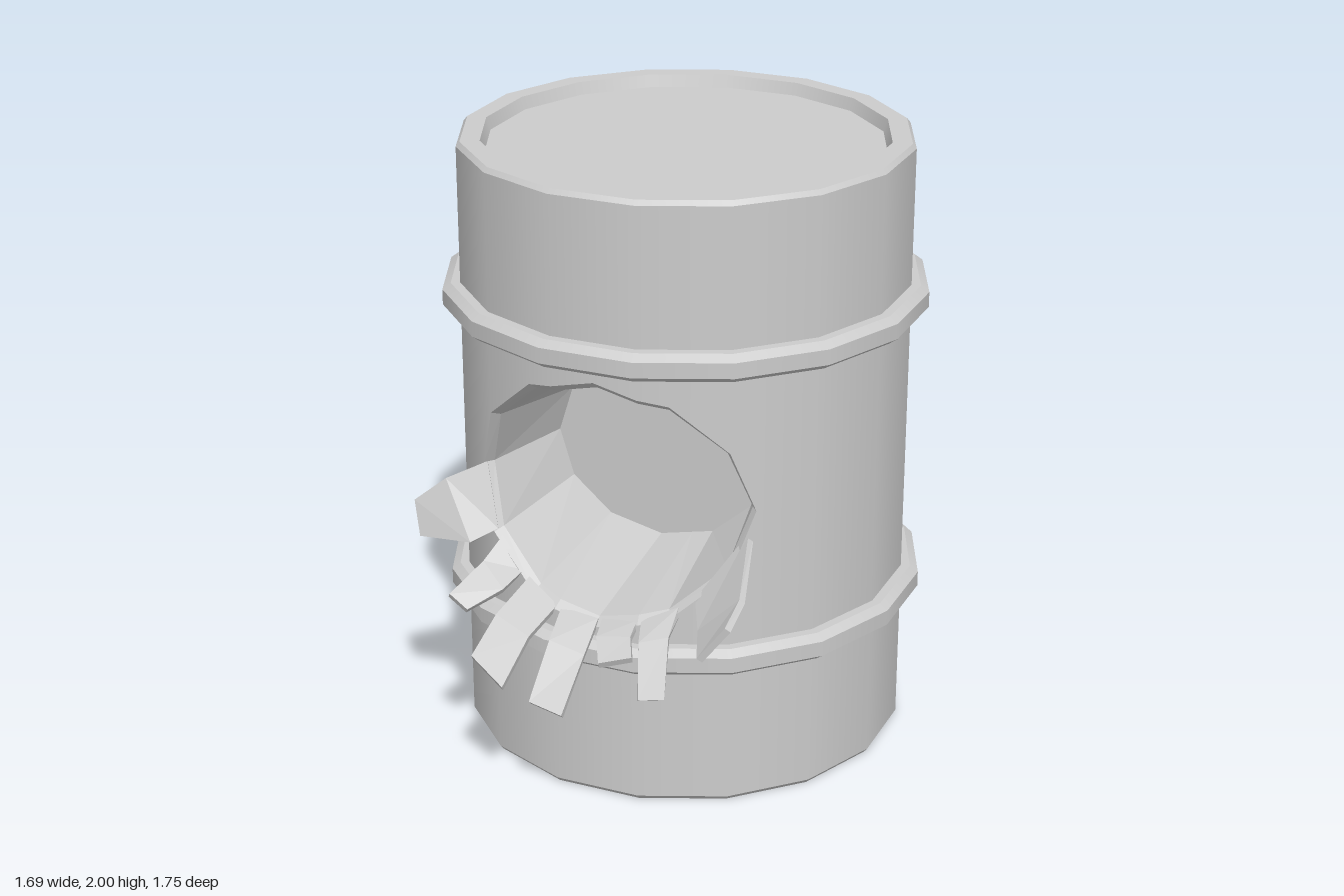
import * as THREE from 'three';
import { mergeGeometries } from 'three/addons/utils/BufferGeometryUtils.js';

const R = 0.725, SIDES = 16, TURN = -33.75 * Math.PI / 180; // hole axis: rotated off +z
const HOLE_W = 0.465, HOLE_H = 0.41, CX = 0.064, CZ = -0.1;
const rad = THREE.MathUtils.degToRad;
const smooth = new THREE.MeshStandardMaterial({ color: 0xcccccc, side: THREE.DoubleSide });
const faceted = new THREE.MeshStandardMaterial({ color: 0xcccccc, side: THREE.DoubleSide, flatShading: true });

// Piecewise-linear lookup in a sorted list of [x, y] pairs
function lerpTable(table, x) {
  for (let i = 1; i < table.length; i++) {
    const [x0, y0] = table[i - 1], [x1, y1] = table[i];
    if (x <= x1 + 1e-9) return y0 + (y1 - y0) * (x - x0) / (x1 - x0);
  }
  return table[table.length - 1][1];
}

// Facet corners of the wall, and the 12-sided hole outline
const corner = [11.25, 33.75, 56.25].map(a => [R * Math.sin(rad(a)), R * Math.cos(rad(a))]);
const outline = [90, 60, 30, 0].map(a => [HOLE_W * Math.cos(rad(a)), HOLE_H * Math.sin(rad(a))]);
const wallZ = u => lerpTable([[0, corner[0][1]], ...corner], Math.abs(u));
const holeH = u => Math.abs(u) >= HOLE_W - 1e-6 ? 0 : lerpTable(outline, Math.abs(u));

function build(points, quads) {
  const g = new THREE.BufferGeometry();
  g.setAttribute('position', new THREE.Float32BufferAttribute(points.flat(), 3));
  g.setIndex(quads.flatMap(([a, b, c, d]) => [a, b, c, a, c, d]));
  g.computeVertexNormals();
  return g;
}

// Turned part: smooth around, sharp at each profile corner
function turned(profile) {
  const parts = [];
  for (let i = 1; i < profile.length; i++) {
    const pts = [profile[i - 1], profile[i]].map(p => new THREE.Vector2(p[0], p[1]));
    parts.push(new THREE.LatheGeometry(pts, SIDES, rad(11.25)));
  }
  return mergeGeometries(parts);
}

// The five front wall facets, split into columns above and below the hole
function holedWall(cols, y0, y1) {
  const points = [], quads = [];
  for (const u of cols) {
    const z = wallZ(u), h = holeH(u);
    for (const y of [y0, 1 - h, 1 + h, y1]) points.push([u, y, z]);
  }
  for (let i = 0; i < cols.length - 1; i++) {
    const a = i * 4, b = a + 4;
    quads.push([a, b, b + 1, a + 1], [a + 2, b + 2, b + 3, a + 3]);
  }
  const g = build(points, quads);
  const p = g.attributes.position, n = g.attributes.normal;
  for (let i = 0; i < p.count; i++) {
    const l = Math.hypot(p.getX(i), p.getZ(i));
    n.setXYZ(i, p.getX(i) / l, 0, p.getZ(i) / l);
  }
  return g;
}

// Recess behind the hole: rim lip, tapering wall and flat back
function cavity(cols) {
  const inner = cols.filter(u => Math.abs(u) <= HOLE_W + 1e-6);
  const loop = [...inner.map(u => [u, holeH(u)]),
    ...inner.slice(1, -1).reverse().map(u => [u, -holeH(u)])];
  const n = loop.length, points = [], quads = [];
  for (const [u, h] of loop) points.push([u, 1 + h, wallZ(u)]);
  for (const [u, h] of loop) points.push([u * 0.95, 1 + h * 0.94, wallZ(u) - 0.03]);
  for (const [u, h] of loop) points.push([u * 0.775, 1 + h * 0.756, 0.2]);
  points.push([0, 1, 0.2]);
  for (let i = 0; i < n; i++) {
    const j = (i + 1) % n;
    for (const k of [0, n]) quads.push([k + i, k + j, k + n + j, k + n + i]);
    quads.push([2 * n + i, 2 * n + j, 3 * n, 3 * n]);
  }
  return build(points, quads);
}

// Bent strip from the hole's lower rim through a middle pair to a tip pair of corners
function strip(t0, t1, corners) {
  const up = new THREE.Vector3(0, 1, 0);
  const base = [t0, t1].map(t => {
    const u = HOLE_W * 0.985 * Math.cos(rad(t));
    return new THREE.Vector3(u, 1 + HOLE_H * 0.97 * Math.sin(rad(t)), wallZ(u) - 0.02)
      .applyAxisAngle(up, TURN).add(new THREE.Vector3(CX, 0, CZ));
  });
  const p = [...base, ...corners.map(c => new THREE.Vector3(...c))];
  const points = [];
  for (let r = 0; r < 3; r++) {
    const q = Math.min(r, 1) * 2;
    const normal = p[r * 2 + 1].clone().sub(p[r * 2])
      .cross(p[q + 2].clone().sub(p[q])).normalize().multiplyScalar(0.011);
    const [a, b] = [p[r * 2], p[r * 2 + 1]];
    points.push(a.clone().add(normal), b.clone().add(normal), b.clone().sub(normal), a.clone().sub(normal));
  }
  const quads = [[0, 1, 2, 3], [11, 10, 9, 8]];
  for (const r of [0, 4]) for (let i = 0; i < 4; i++) {
    const j = (i + 1) % 4;
    quads.push([r + i, r + 4 + i, r + 4 + j, r + j]);
  }
  return build(points.map(v => v.toArray()), quads);
}

export function createModel() {
  const model = new THREE.Group();
  model.name = 'burstBarrel';
  const barrel = new THREE.Group();
  barrel.name = 'barrel';
  barrel.position.set(CX, 0, CZ);
  barrel.rotation.y = TURN;
  model.add(barrel);
  const add = (parent, name, geometry, material = smooth) => {
    const m = new THREE.Mesh(geometry, material);
    m.name = name;
    parent.add(m);
  };

  // Wall
  const half = [corner[0][0], HOLE_W / 2, corner[1][0], HOLE_W, corner[2][0]];
  const cols = [...half.map(u => -u).reverse(), 0, ...half];
  add(barrel, 'frontWall', holedWall(cols, 0.015, 1.985));
  const back = new THREE.CylinderGeometry(R, R, 1.97, 11, 1, true, rad(56.25), rad(247.5));
  add(barrel, 'backWall', back.translate(0, 1, 0));
  add(barrel, 'holeRecess', cavity(cols), faceted);

  // Rims with sunken lid and base
  add(barrel, 'lid', turned([[R, 1.985], [0.713, 2], [0.65, 2], [0.637, 1.96], [0, 1.96]]));
  add(barrel, 'base', turned([[0, 0.04], [0.637, 0.04], [0.65, 0], [0.713, 0], [R, 0.015]]));

  // Hoops
  for (const [name, y] of [['lowerHoop', 0.515], ['upperHoop', 1.495]]) {
    add(barrel, name, turned([[0.715, y - 0.045], [0.755, y - 0.045], [0.782, y - 0.025],
      [0.782, y + 0.025], [0.755, y + 0.045], [0.715, y + 0.045]]));
  }

  // Torn strips hanging from the lower edge of the hole
  const torn = new THREE.Group();
  torn.name = 'tornStrips';
  model.add(torn);
  const strips = [
    [180, 210, [[-0.74, 0.95, 0.08], [-0.68, 0.77, 0.19], [-0.84, 0.87, 0.05], [-0.83, 0.76, 0.09]]],
    [214, 231, [[-0.65, 0.72, 0.24], [-0.60, 0.66, 0.33], [-0.77, 0.66, 0.33], [-0.72, 0.62, 0.37]]],
    [235, 252, [[-0.63, 0.61, 0.40], [-0.54, 0.57, 0.49], [-0.72, 0.52, 0.49], [-0.64, 0.46, 0.60]]],
    [254, 270, [[-0.48, 0.57, 0.52], [-0.38, 0.54, 0.58], [-0.56, 0.42, 0.63], [-0.47, 0.40, 0.70]]],
    [272, 287, [[-0.34, 0.59, 0.57], [-0.24, 0.60, 0.61], [-0.35, 0.55, 0.67], [-0.25, 0.57, 0.69]]],
    [289, 304, [[-0.22, 0.60, 0.64], [-0.13, 0.62, 0.66], [-0.24, 0.45, 0.73], [-0.16, 0.45, 0.74]]],
    [312, 348, [[-0.04, 0.65, 0.70], [0.07, 0.79, 0.79], [-0.07, 0.63, 0.84], [0.01, 0.74, 0.87]]],
  ];
  strips.forEach(([t0, t1, corners], i) => add(torn, 'tornStrip' + (i + 1), strip(t0, t1, corners), faceted));
  return model;
}
